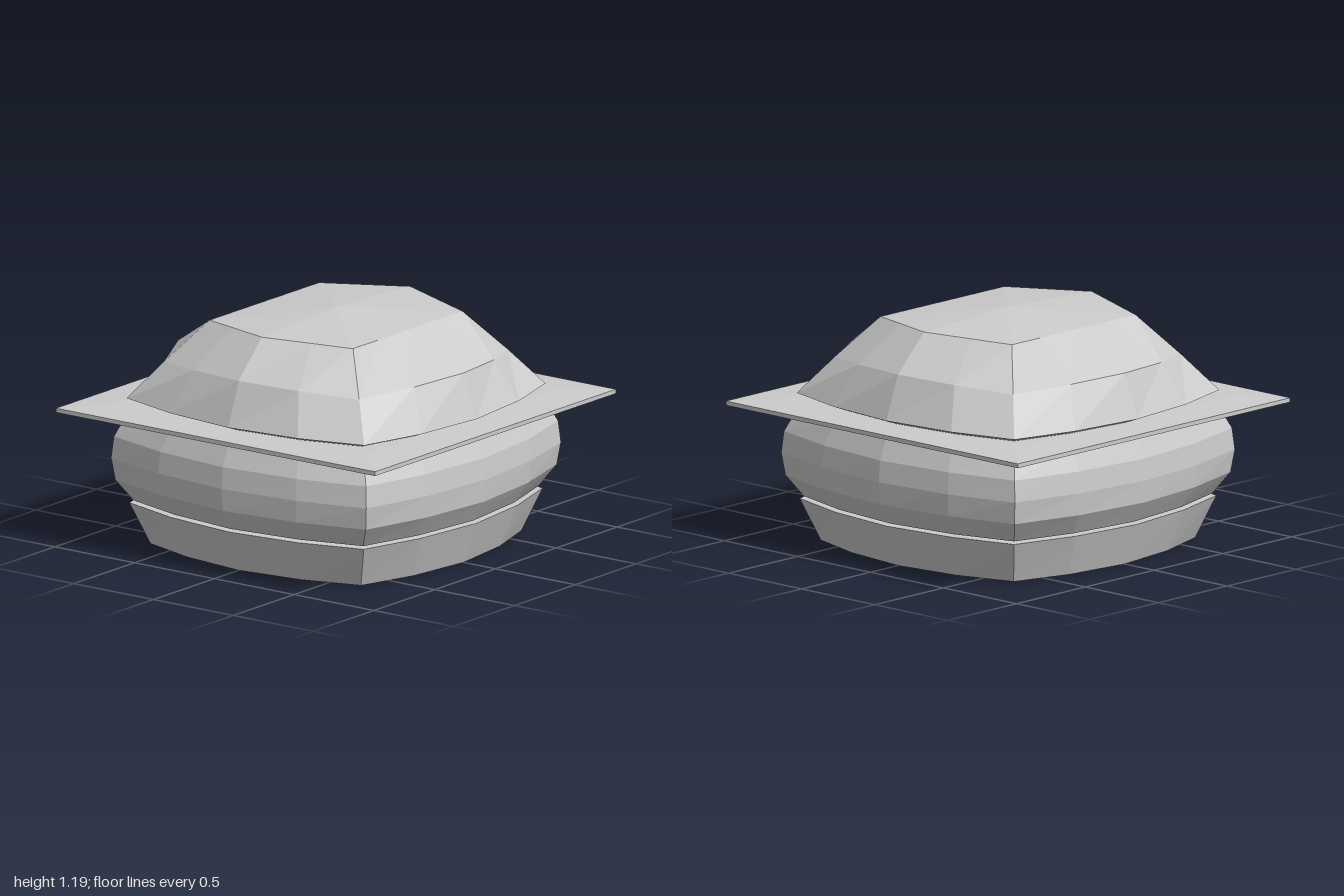
import * as THREE from 'three';

const material = new THREE.MeshStandardMaterial({ color: 0xcccccc, flatShading: true });

// Sixteen-point ring: a square with bowed sides.
// Middles of the sides are midX / midZ from the axis, corners at (corner, corner).
function ring({ y, corner, mid = corner, midX = mid, midZ = mid, yCorner = y, yX = y, yZ = y, power = 1.85 }) {
  const points = [];
  for (let side = 0; side < 4; side++) {
    const alongX = side % 2 === 0;
    const reach = alongX ? midZ : midX;
    const height = alongX ? yZ : yX;
    for (const t of [-1, -0.54, 0, 0.54]) {
      const k = Math.abs(t) ** power;
      const out = reach + (corner - reach) * k;
      const p = new THREE.Vector3(corner * t, height + (yCorner - height) * k, out);
      points.push(p.applyAxisAngle(new THREE.Vector3(0, 1, 0), side * Math.PI / 2));
    }
  }
  return points;
}

// Skin the rings from bottom to top and close both ends with fans.
function loft(name, specs, bottomY, topY) {
  const rings = specs.map(ring);
  const positions = [];
  const tri = (...corners) => corners.forEach((p) => positions.push(p.x, p.y, p.z));
  const bottom = new THREE.Vector3(0, bottomY, 0);
  const top = new THREE.Vector3(0, topY, 0);
  const last = rings[rings.length - 1];
  for (let i = 0; i < 16; i++) {
    const j = (i + 1) % 16;
    tri(bottom, rings[0][j], rings[0][i]);
    tri(top, last[i], last[j]);
    for (let r = 0; r < rings.length - 1; r++) {
      const a = rings[r];
      const b = rings[r + 1];
      tri(a[i], a[j], b[j]);
      tri(a[i], b[j], b[i]);
    }
  }
  const geometry = new THREE.BufferGeometry();
  geometry.setAttribute('position', new THREE.Float32BufferAttribute(positions, 3));
  geometry.computeVertexNormals();
  const mesh = new THREE.Mesh(geometry, material);
  mesh.name = name;
  return mesh;
}

export function createModel() {
  const burger = new THREE.Group();
  burger.name = 'burger';

  // Flared base with a flat top
  const bottomBun = loft('bottomBun', [
    { y: 0, mid: 0.8, corner: 0.66 },
    { y: 0.215, mid: 0.88, corner: 0.735 },
  ], 0, 0.215);

  // Rounded patty
  const patty = loft('patty', [
    { y: 0.226, mid: 0.86, corner: 0.72 },
    { y: 0.335, mid: 0.93, corner: 0.785 },
    { y: 0.45, mid: 0.94, corner: 0.8 },
    { y: 0.56, mid: 0.93, corner: 0.79 },
    { y: 0.68, mid: 0.88, corner: 0.74 },
  ], 0.226, 0.68);

  // Thin square slice, slightly thicker toward the middle
  const cheese = loft('cheeseSlice', [
    { y: 0.67, corner: 0.89 },
    { y: 0.692, corner: 1 },
    { y: 0.714, corner: 1 },
    { y: 0.726, corner: 0.8 },
  ], 0.67, 0.73);
  cheese.scale.x = 0.99;

  // Domed bun with a faceted crown
  const topBun = loft('topBun', [
    { y: 0.73, mid: 0.82, corner: 0.69 },
    { y: 0.755, mid: 0.885, corner: 0.745 },
    { y: 0.978, yCorner: 0.94, mid: 0.8, corner: 0.61 },
    { yX: 1.163, yZ: 1.143, yCorner: 1.143, midX: 0.61, midZ: 0.45, corner: 0.45, power: 1 },
  ], 0.73, 1.19);

  burger.add(bottomBun, patty, cheese, topBun);
  return burger;
}
